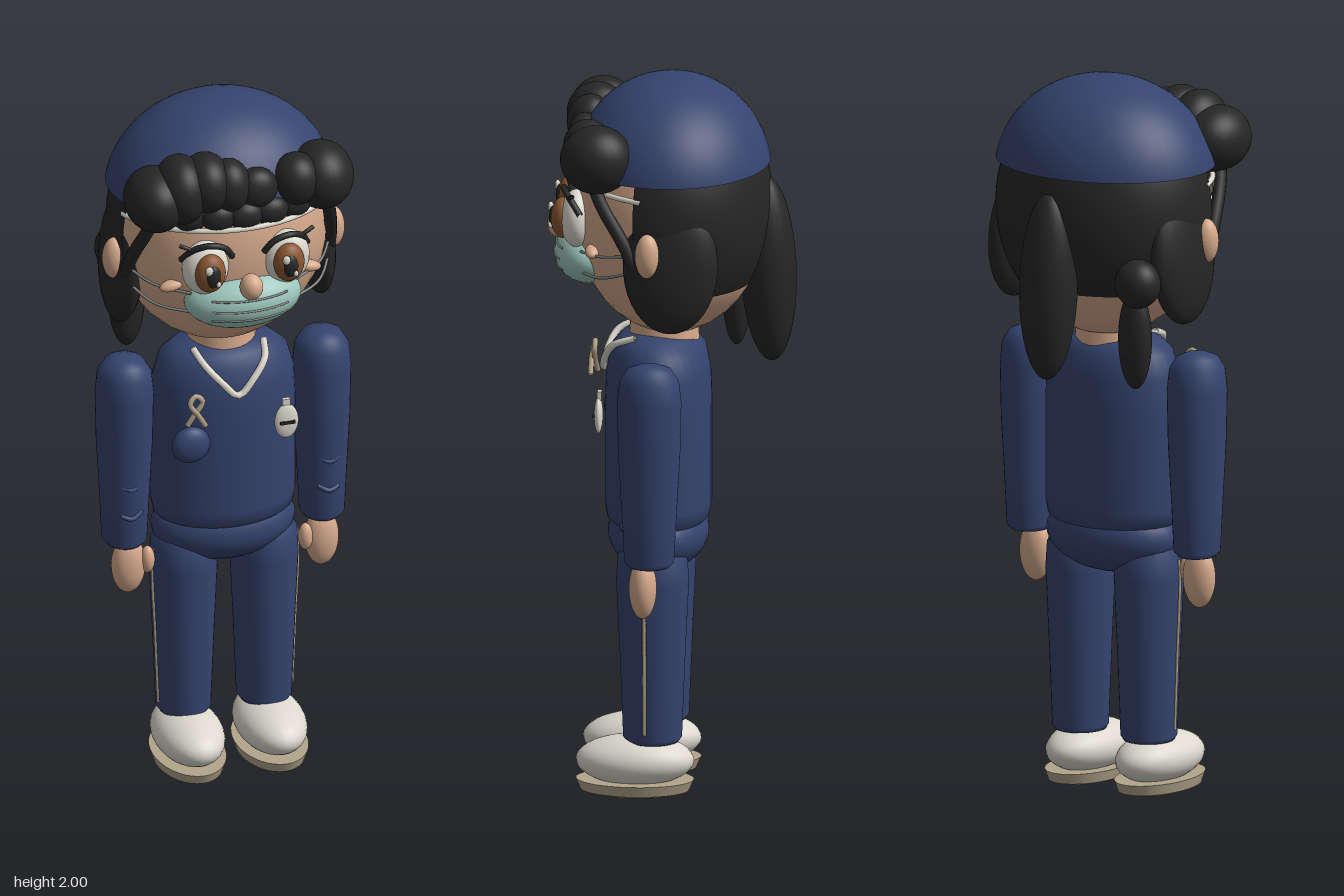
import * as THREE from 'three';

const mat = (name, color) => {
  const m = new THREE.MeshStandardMaterial({ color, side: THREE.DoubleSide });
  m.name = name;
  return m;
};

export function createModel() {
  const navy = mat('navy cloth', 0x35446f);
  const hair = mat('black hair', 0x262626);
  const skin = mat('skin', 0xd6aa8c);
  const white = mat('off white', 0xdcd8cd);
  const tan = mat('tan', 0xb3a58c);
  const teal = mat('mask green', 0x9cc6bb);
  const brown = mat('iris brown', 0x8a5732);
  const grey = mat('strap grey', 0x7f8583);
  const root = new THREE.Group();
  root.name = 'figure';

  const add = (name, geo, m, pos = [0, 0, 0], parent = root) => {
    const mesh = new THREE.Mesh(geo, m);
    mesh.name = name;
    mesh.position.set(...pos);
    parent.add(mesh);
    return mesh;
  };
  const ball = (name, m, pos, r, parent = root) => {
    const mesh = add(name, new THREE.SphereGeometry(1, 28, 20), m, pos, parent);
    mesh.scale.set(...r);
    return mesh;
  };
  const tube = (name, m, pts, r, parent = root) => add(name, new THREE.TubeGeometry(
    new THREE.CatmullRomCurve3(pts.map(p => new THREE.Vector3(...p))), 24, r, 8), m, [0, 0, 0], parent);
  const lathe = (name, m, profile, pos, zScale = 1, parent = root) => {
    const mesh = add(name, new THREE.LatheGeometry(profile.map(p => new THREE.Vector2(...p)), 36), m, pos, parent);
    mesh.scale.z = zScale;
    return mesh;
  };

  // Head, neck and nose
  ball('head', skin, [0, 1.625, 0], [0.3, 0.345, 0.27]);
  add('neck', new THREE.CylinderGeometry(0.09, 0.1, 0.12, 24), skin, [0, 1.28, 0.02]);
  ball('nose', skin, [0, 1.57, 0.305], [0.032, 0.037, 0.035]);

  // Cap
  const cap = add('cap', new THREE.SphereGeometry(1, 48, 20, 0, Math.PI * 2, 0, 1.42), navy, [0, 1.72, 0]);
  cap.scale.set(0.318, 0.28, 0.274);
  const rim = [];
  for (let i = 0; i <= 12; i++) {
    const a = -1.35 + i * 0.225;
    rim.push([0.3 * Math.sin(a), 1.71 + 0.025 * Math.cos(a), 0.275 * Math.cos(a)]);
  }
  tube('capBand', white, rim, 0.008);

  // Hair on the back of the head
  const back = add('backHair', new THREE.SphereGeometry(1, 40, 24, Math.PI - 0.3, Math.PI + 0.6, 0.7, 1.5),
    hair, [0, 1.64, 0]);
  back.scale.set(0.312, 0.355, 0.277);

  // Fringe: a swept roll on one side, a pair of curls on the other
  const fringe = new THREE.Group();
  fringe.name = 'fringe';
  root.add(fringe);
  [
    [-0.24, 1.82, 0.19, 0.085, 0.09, 0.105], [-0.17, 1.845, 0.2, 0.075, 0.098, 0.095],
    [-0.1, 1.86, 0.21, 0.07, 0.085, 0.085], [-0.04, 1.85, 0.225, 0.06, 0.077, 0.065],
    [0.035, 1.835, 0.235, 0.06, 0.06, 0.045], [0.235, 1.82, 0.185, 0.088, 0.095, 0.1],
    [0.155, 1.835, 0.215, 0.067, 0.075, 0.068],
  ].forEach(([x, y, z, ...r]) => ball('curl', hair, [x, y, z], r, fringe));
  for (let i = -3; i <= 3; i++) {
    const x = i * 0.073;
    ball('fringeTip', hair, [x, 1.765, 0.25 * Math.sqrt(1 - (x / 0.3) ** 2)], [0.05, 0.042, 0.035], fringe);
  }

  // Tails and bun
  ball('longTail', hair, [0, 1.46, -0.265], [0.082, 0.262, 0.077]).rotation.x = 0.04;
  ball('sideBun', hair, [-0.235, 1.48, -0.175], [0.065, 0.068, 0.06]);
  ball('sideTail', hair, [-0.215, 1.32, -0.16], [0.05, 0.14, 0.038]);

  // Mask with pleats
  ball('mask', teal, [0, 1.5, 0.22], [0.165, 0.085, 0.1]);
  for (const y of [1.47, 1.5, 1.53]) {
    const pts = [];
    for (let i = -4; i <= 4; i++) {
      const x = i * 0.027;
      pts.push([x, y, 0.22 + 0.1 * Math.sqrt(1 - (x / 0.165) ** 2 - ((y - 1.5) / 0.085) ** 2)]);
    }
    tube('maskPleat', grey, pts, 0.003);
  }

  // Torso and hips
  lathe('tunic', navy, [[0, 0.72], [0.16, 0.735], [0.195, 0.76], [0.203, 0.8], [0.203, 1.08],
    [0.198, 1.17], [0.18, 1.235], [0.145, 1.265], [0.09, 1.283], [0, 1.285]], [0, 0, 0.035], 0.72);
  ball('hips', navy, [0, 0.715, 0.035], [0.202, 0.108, 0.138]);
  tube('collar', white, [[-0.1, 1.278, 0.09], [-0.085, 1.255, 0.15], [-0.045, 1.21, 0.178], [0, 1.168, 0.185],
    [0.045, 1.21, 0.178], [0.085, 1.255, 0.15], [0.1, 1.278, 0.09]], 0.01);

  // Chest items
  ball('badge', white, [0.135, 1.07, 0.188], [0.034, 0.052, 0.012]);
  add('badgeClip', new THREE.BoxGeometry(0.022, 0.025, 0.012), white, [0.135, 1.125, 0.185]);
  add('badgeBar', new THREE.BoxGeometry(0.042, 0.009, 0.006), hair, [0.135, 1.07, 0.2]);
  ball('roundPocket', navy, [-0.13, 1.025, 0.165], [0.054, 0.054, 0.03]);
  tube('ribbon', tan, [[-0.155, 1.115, 0.215], [-0.135, 1.15, 0.22], [-0.113, 1.185, 0.22], [-0.132, 1.205, 0.22],
    [-0.15, 1.185, 0.225], [-0.128, 1.15, 0.23], [-0.108, 1.115, 0.23]], 0.008);

  for (const s of [1, -1]) {
    const side = new THREE.Group();
    side.name = s > 0 ? 'leftSide' : 'rightSide';
    root.add(side);

    // Ear, side lock and the strand in front of it
    ball('ear', skin, [s * 0.31, 1.57, 0.04], [0.034, 0.062, 0.034], side);
    ball('sideLock', hair, [s * 0.272, 1.535, -0.02], [0.053, 0.19, 0.13], side).rotation.z = s * 0.08;
    tube('frontStrand', hair, [[s * 0.24, 1.77, 0.2], [s * 0.262, 1.7, 0.17], [s * 0.285, 1.6, 0.11],
      [s * 0.29, 1.54, 0.08]], 0.018, side);
    ball('cheek', skin, [s * 0.195, 1.55, 0.2], [0.035, 0.016, 0.02], side).rotation.z = -s * 0.2;
    tube('upperStrap', grey, [[s * 0.15, 1.535, 0.235], [s * 0.235, 1.545, 0.175], [s * 0.305, 1.57, 0.05]], 0.004, side);
    tube('lowerStrap', grey, [[s * 0.15, 1.475, 0.23], [s * 0.235, 1.485, 0.17], [s * 0.305, 1.53, 0.05]], 0.004, side);

    // Eye
    ball('eyeWhite', white, [s * 0.115, 1.62, 0.25], [0.066, 0.08, 0.045], side);
    ball('iris', brown, [s * 0.112, 1.62, 0.288], [0.043, 0.057, 0.032], side);
    ball('pupil', hair, [s * 0.11, 1.62, 0.31], [0.022, 0.034, 0.016], side);
    ball('eyeShine', white, [s * 0.11 - 0.015, 1.645, 0.322], [0.011, 0.014, 0.008], side);
    ball('smallShine', white, [s * 0.11 + 0.012, 1.6, 0.322], [0.007, 0.009, 0.006], side);
    tube('lashLine', hair, [[s * 0.045, 1.655, 0.275], [s * 0.07, 1.69, 0.285], [s * 0.115, 1.703, 0.285],
      [s * 0.155, 1.685, 0.265], [s * 0.18, 1.645, 0.235]], 0.009, side);
    tube('lash', hair, [[s * 0.155, 1.685, 0.265], [s * 0.175, 1.695, 0.262], [s * 0.19, 1.7, 0.255]], 0.006, side);

    // Sleeve with elbow creases, hand and thumb
    lathe('sleeve', navy, [[0, 0.685], [0.05, 0.685], [0.062, 0.7], [0.068, 0.83], [0.077, 1], [0.08, 1.15],
      [0.074, 1.21], [0.055, 1.242], [0.025, 1.254], [0, 1.255]], [s * 0.281, 0, 0.037], 1.1, side);
    for (const y of [0.79, 0.88])
      tube('sleeveCrease', navy, [[s * 0.25, y + 0.015, 0.1], [s * 0.28, y, 0.112], [s * 0.31, y + 0.008, 0.102]], 0.007, side);
    ball('hand', skin, [s * 0.275, 0.62, 0.055], [0.048, 0.085, 0.038], side);
    ball('thumb', skin, [s * 0.225, 0.635, 0.07], [0.02, 0.04, 0.022], side);

    // Trouser leg with side stripe
    lathe('trouserLeg', navy, [[0, 0.145], [0.068, 0.147], [0.076, 0.16], [0.085, 0.4], [0.094, 0.6],
      [0.09, 0.67], [0.06, 0.73], [0, 0.75]], [s * 0.115, 0, 0.042], 1.06, side);
    tube('sideStripe', tan, [[s * 0.19, 0.18, 0.058], [s * 0.199, 0.4, 0.058], [s * 0.207, 0.58, 0.058],
      [s * 0.204, 0.66, 0.058]], 0.005, side);

    // Shoe
    ball('shoe', white, [s * 0.117, 0.092, 0.09], [0.096, 0.07, 0.162], side);
    const sole = add('sole', new THREE.CylinderGeometry(0.1, 0.092, 0.03, 36), tan, [s * 0.117, 0.024, 0.09], side);
    sole.scale.z = 1.62;
    const tread = add('tread', new THREE.CylinderGeometry(0.08, 0.07, 0.01, 36), tan, [s * 0.117, 0.005, 0.09], side);
    tread.scale.z = 1.62;
  }
  return root;
}
